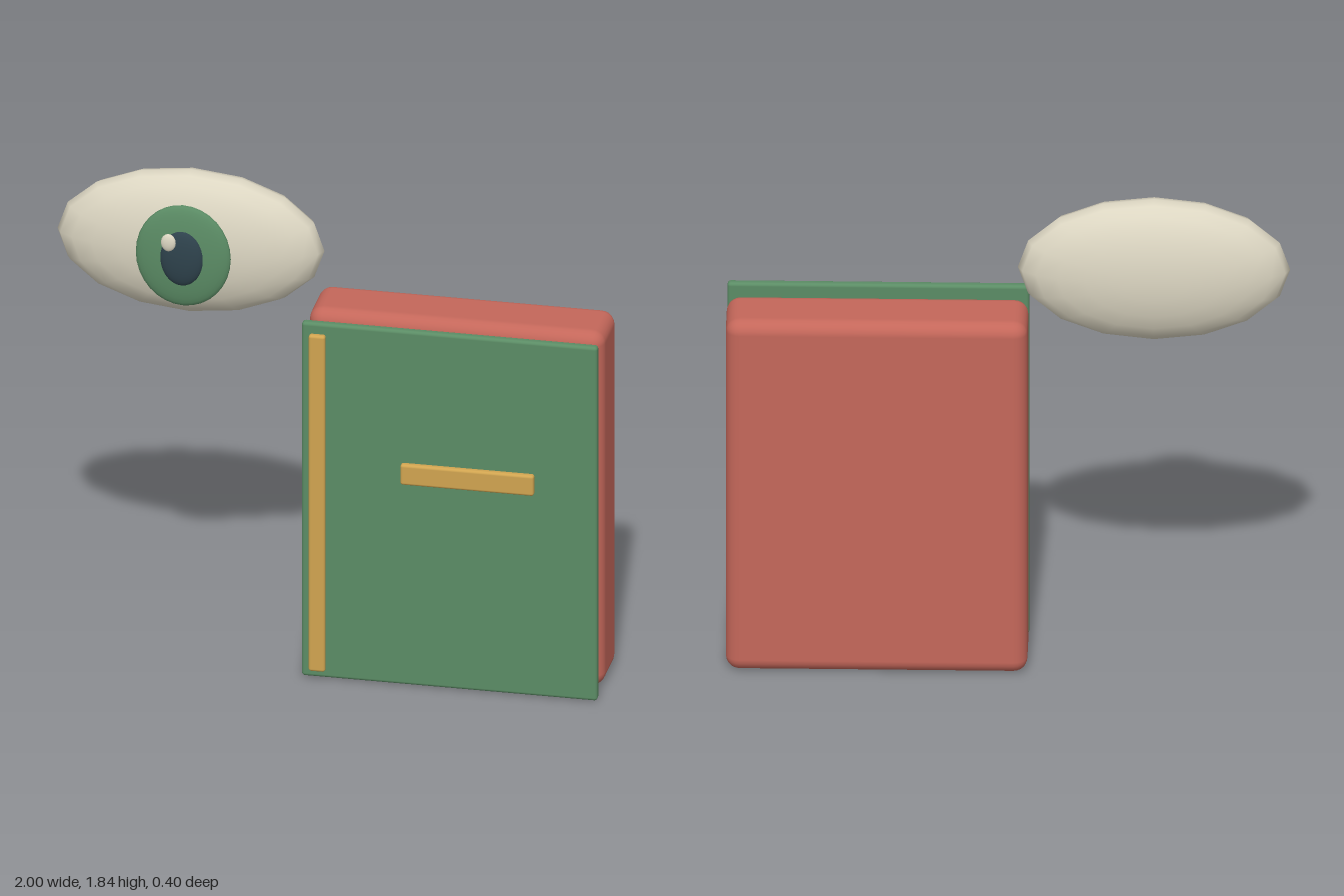
import * as THREE from 'three';
import { RoundedBoxGeometry } from 'three/addons/geometries/RoundedBoxGeometry.js';

const mat = (name, color) => {
  const m = new THREE.MeshStandardMaterial({ color });
  m.name = name;
  return m;
};

export function createModel() {
  const red = mat('red', 0xc4675a);
  const green = mat('green', 0x5b8c65);
  const cream = mat('cream', 0xdcd6c2);
  const gold = mat('gold', 0xd0a450);
  const dark = mat('dark slate', 0x2e424c);

  const model = new THREE.Group();

  // Rounded slab given by its lower and upper corners
  function slab(parent, name, material, min, max, radius) {
    const size = max.map((v, i) => v - min[i]);
    const mesh = new THREE.Mesh(new RoundedBoxGeometry(...size, 3, radius), material);
    mesh.position.set(...max.map((v, i) => (v + min[i]) / 2));
    mesh.name = name;
    parent.add(mesh);
  }

  // Ellipsoid with its pole along z
  function ellipsoid(parent, name, material, center, radii, sides, rings) {
    const geo = new THREE.SphereGeometry(1, sides, rings).rotateX(Math.PI / 2);
    geo.scale(...radii);
    const mesh = new THREE.Mesh(geo, material);
    mesh.position.set(...center);
    mesh.name = name;
    parent.add(mesh);
  }

  // Book: body, pages, front cover and trim
  const book = new THREE.Group();
  book.name = 'book';
  slab(book, 'bookBody', red, [-0.07, 0, -0.188], [1, 1.387, 0.06], 0.05);
  slab(book, 'pages', cream, [0.04, 0.09, -0.03], [0.96, 1.3, 0.114], 0.045);
  slab(book, 'frontCover', green, [-0.07, 0.003, 0.13], [1, 1.387, 0.164], 0.012);
  slab(book, 'spineStrip', gold, [-0.038, 0.04, 0.174], [0.022, 1.355, 0.201], 0.01);
  slab(book, 'titleBar', gold, [0.292, 0.795, 0.162], [0.775, 0.875, 0.19], 0.01);
  model.add(book);

  // Eye floating beside the upper corner
  const eye = new THREE.Group();
  eye.name = 'eye';
  ellipsoid(eye, 'eyeball', cream, [-0.517, 1.564, -0.066], [0.483, 0.274, 0.133], 16, 12);
  ellipsoid(eye, 'iris', green, [-0.517, 1.564, 0.07], [0.172, 0.196, 0.034], 32, 16);
  ellipsoid(eye, 'pupil', dark, [-0.517, 1.564, 0.096], [0.078, 0.106, 0.026], 32, 16);
  ellipsoid(eye, 'glint', cream, [-0.56, 1.634, 0.124], [0.027, 0.034, 0.012], 16, 12);
  model.add(eye);

  return model;
}
